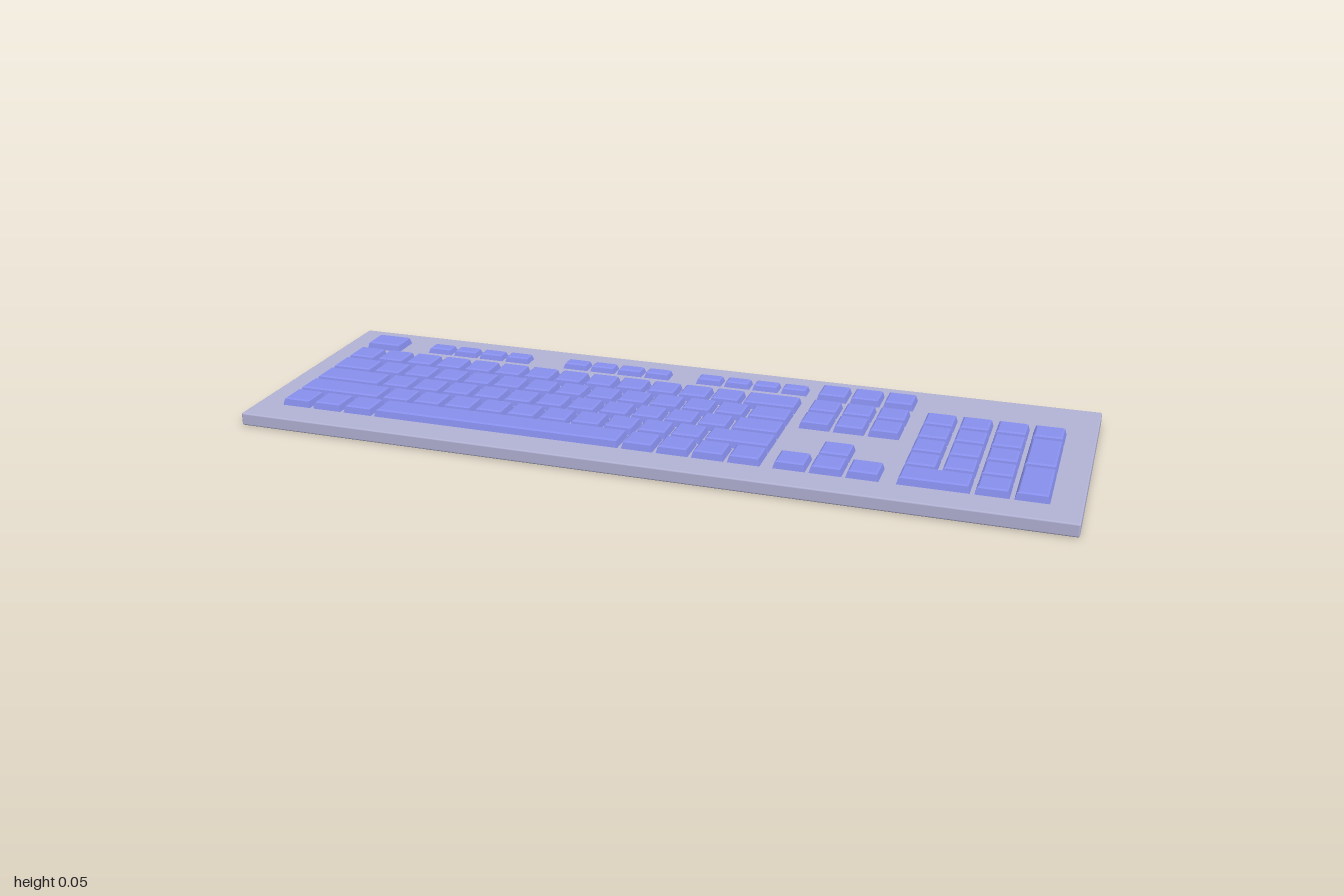
import * as THREE from 'three';
import { RoundedBoxGeometry } from 'three/addons/geometries/RoundedBoxGeometry.js';

const U = 0.0834;            // key pitch
const GAP = 0.009;           // space between neighbouring keys
const DEPTH = 0.074;         // depth of a one-row key
const ROWS = [-0.121, -0.0375, 0.0455, 0.128, 0.2095]; // row centres
const FUNCTION_Z = -0.226;
const LEFT = -0.931, RIGHT = 0.287;

const caseMaterial = new THREE.MeshStandardMaterial({ color: 0xb3b3d6 });
const keyMaterial = new THREE.MeshStandardMaterial({ color: 0x8890ee, flatShading: true });

// Key cap: a straight stem through the case, a tapered wall and a bevelled top
function keyGeometry(w, d, top) {
  const rings = [[0, 0], [0.032, 0], [top - 0.003, 0.004], [top, 0.008]];
  const g = new THREE.BoxGeometry(w, 3, d, 1, 3, 1);
  const p = g.attributes.position;
  for (let i = 0; i < p.count; i++) {
    const [y, inset] = rings[Math.round(p.getY(i) + 1.5)];
    p.setXYZ(i, p.getX(i) - Math.sign(p.getX(i)) * inset, y, p.getZ(i) - Math.sign(p.getZ(i)) * inset);
  }
  const flat = g.toNonIndexed();
  flat.computeVertexNormals();
  return flat;
}

// Adds a key whose left edge is at x and whose centre is at z
function addKey(group, name, x, z, w, d = DEPTH, top = 0.05) {
  const key = new THREE.Mesh(keyGeometry(w, d, top), keyMaterial);
  key.name = name;
  key.position.set(x + w / 2, 0, z);
  group.add(key);
}

function section(parent, name) {
  const group = new THREE.Group();
  group.name = name;
  parent.add(group);
  return group;
}

export function createModel() {
  const model = new THREE.Group();
  model.name = 'keyboard';

  // Flat case with softened edges
  const plate = new THREE.Mesh(new RoundedBoxGeometry(2, 0.0315, 0.654, 2, 0.004), caseMaterial);
  plate.name = 'case';
  plate.position.y = 0.01625;
  model.add(plate);

  // Main block: widths in key units, the last key of each row fills up to the right edge
  const ones = (n) => Array(n).fill(1);
  const layout = [
    ones(13),
    [1.41, ...ones(12)],
    [2.2, ...ones(11)],
    [2.72, ...ones(10)],
    [1, 1, 1, 7.63, 1.02, 1.02, 1.02],
  ];
  const main = section(model, 'mainKeys');
  layout.forEach((widths, r) => {
    let x = LEFT;
    for (const u of widths) {
      addKey(main, u > 7 ? 'spaceBar' : 'mainKey', x, ROWS[r], u * U - GAP);
      x += u * U;
    }
    addKey(main, 'rowEndKey', x, ROWS[r], RIGHT - x);
  });

  // Corner key and three groups of four small function keys
  const top = section(model, 'functionKeys');
  addKey(top, 'cornerKey', LEFT, FUNCTION_Z, 0.096);
  for (const start of [-0.757, -0.367, -0.003])
    for (let i = 0; i < 4; i++)
      addKey(top, 'functionKey', start + i * 0.0745, -0.2285, 0.066, 0.042, 0.047);

  // Navigation block and arrow keys
  const nav = section(model, 'navigationKeys');
  const navX = (c) => 0.317 + c * U;
  for (const z of [FUNCTION_Z, ROWS[0], ROWS[1], ROWS[4]])
    for (let c = 0; c < 3; c++)
      addKey(nav, z === ROWS[4] ? 'arrowKey' : 'navigationKey', navX(c), z, U - GAP);
  addKey(nav, 'upArrowKey', navX(1), ROWS[3], U - GAP);

  // Number pad with one wide and two tall keys
  const pad = section(model, 'numberPad');
  const pitch = 0.0855, w = 0.0755;
  const padX = (c) => 0.597 + c * pitch;
  for (let r = 0; r < 4; r++)
    for (let c = 0; c < 3; c++) addKey(pad, 'numberKey', padX(c), ROWS[r], w);
  addKey(pad, 'wideKey', padX(0), ROWS[4], w + pitch);
  addKey(pad, 'numberKey', padX(2), ROWS[4], w);
  addKey(pad, 'numberKey', padX(3), ROWS[0], w);
  for (const r of [1, 3])
    addKey(pad, 'tallKey', padX(3), (ROWS[r] + ROWS[r + 1]) / 2, w, DEPTH + ROWS[r + 1] - ROWS[r]);

  return model;
}
